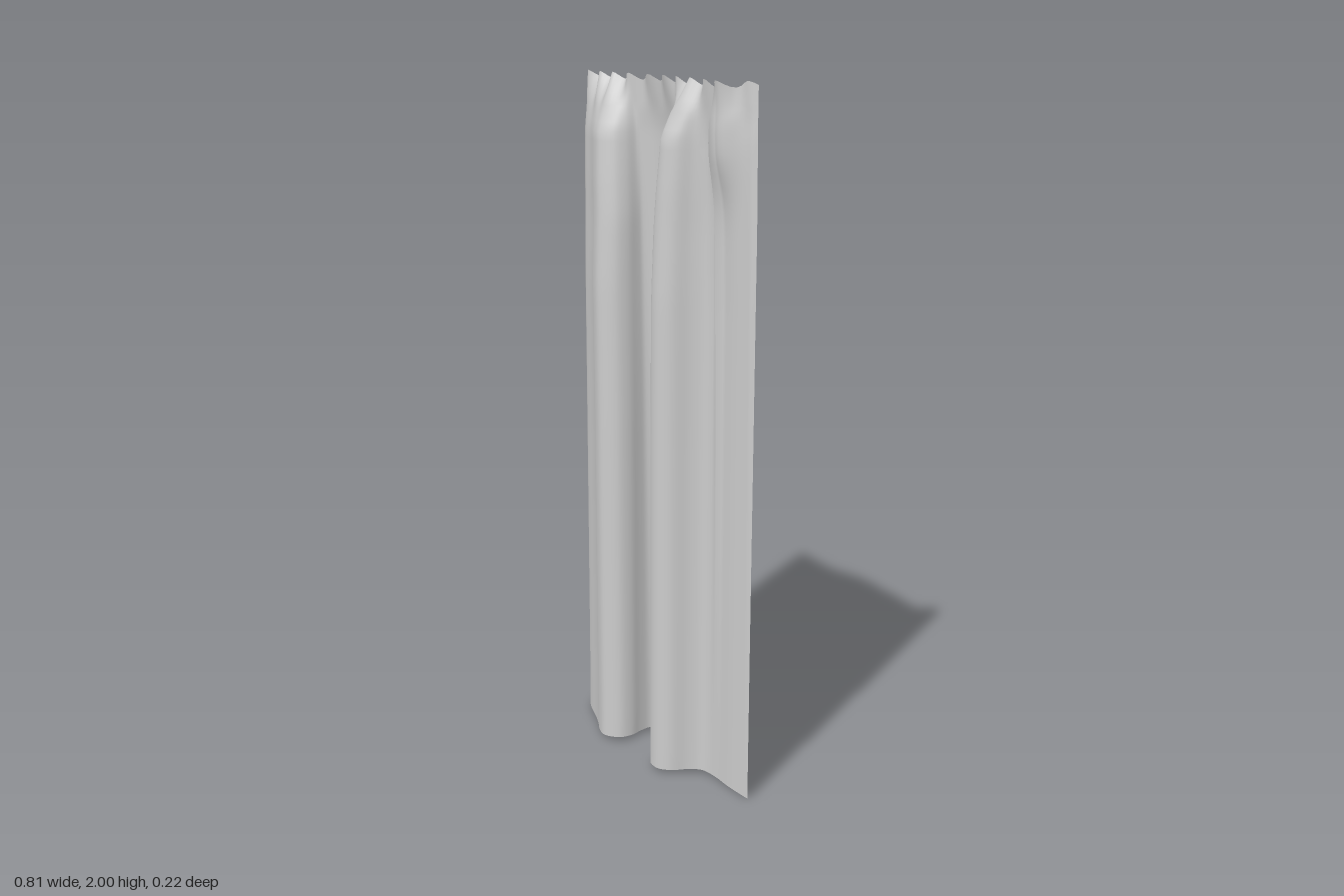
import * as THREE from 'three';

// Hem line and gathered top line as matching [x, z] points, left to right on screen
const HEM = [
  [-0.40, 0.0], [-0.36, 0.02], [-0.30, 0.045], [-0.245, 0.072], [-0.2, 0.097], [-0.155, 0.108],
  [-0.115, 0.08], [-0.107, 0.04], [-0.117, 0.0], [-0.12, -0.04], [-0.088, -0.09], [-0.038, -0.112],
  [0.015, -0.1], [0.055, -0.062], [0.074, -0.015], [0.06, 0.025], [0.056, 0.06], [0.073, 0.1],
  [0.12, 0.111], [0.155, 0.088], [0.178, 0.04], [0.205, 0.008], [0.26, 0.0], [0.32, 0.003],
  [0.365, 0.002], [0.408, 0.0],
];
const TOP = [
  [-0.405, -0.03], [-0.375, -0.01], [-0.335, -0.012], [-0.295, 0.0], [-0.26, 0.0], [-0.225, 0.005],
  [-0.19, 0.005], [-0.165, 0.005], [-0.145, 0.003], [-0.12, 0.0], [-0.09, -0.008], [-0.04, -0.01],
  [0.005, -0.008], [0.035, -0.005], [0.06, 0.0], [0.08, 0.004], [0.1, 0.008], [0.125, 0.01],
  [0.15, 0.012], [0.175, 0.015], [0.2, 0.018], [0.235, 0.025], [0.275, 0.035], [0.32, 0.035],
  [0.36, 0.0], [0.395, -0.015],
];
// How far each row has opened from the top line to the hem: [y, value]
const FRONT = [[0, 1], [1.4, 1], [1.7, 0.88], [1.84, 0.78], [1.93, 0.4], [2, 0]];
const BACK = [[0, 1], [0.5, 0.86], [1, 0.69], [1.5, 0.47], [1.85, 0.27], [2, 0]];
const SIDE = [[0, 1], [1, 0.93], [1.6, 0.8], [1.85, 0.5], [2, 0]];

function ramp(table, y) {
  for (let i = 1; i < table.length; i++) {
    const [y0, a] = table[i - 1], [y1, b] = table[i];
    if (y <= y1) return a + (b - a) * (y - y0) / (y1 - y0);
  }
  return table[table.length - 1][1];
}

const toCurve = (points) =>
  new THREE.CatmullRomCurve3(points.map(([x, z]) => new THREE.Vector3(x, 0, z)));

function curtainGeometry() {
  const cols = 100, rows = 48;
  const hem = toCurve(HEM), top = toCurve(TOP);
  const positions = [], index = [];
  for (let r = 0; r <= rows; r++) {
    // rows are closer together near the gathered top
    const v = 1 - (1 - r / rows) ** 1.6;
    const level = 2 * v;
    for (let c = 0; c <= cols; c++) {
      const u = c / cols;
      const a = top.getPoint(u), b = hem.getPoint(u);
      const fz = ramp(b.z > 0 ? FRONT : BACK, level);
      const x = THREE.MathUtils.lerp(a.x, b.x, ramp(SIDE, level));
      let z = THREE.MathUtils.lerp(a.z, b.z, fz);
      // soft puff below the top of the flat panel
      z += 0.035 * Math.exp(-(((x - 0.3) / 0.05) ** 2) - ((level - 1.83) / 0.12) ** 2);
      // small pleats fading out below the top edge
      const gather = Math.max(0, (level - 1.9) / 0.1);
      const wave = Math.cos(a.x * 2 * Math.PI / 0.075);
      z += 0.009 * gather * wave;
      // hem rises slightly in the middle, top edge is scalloped
      const rise = 0.013 * (1 - v) * Math.min(1, Math.max(0, (0.4 - Math.abs(b.x)) / 0.25));
      const y = level + rise - 0.009 * gather * (1 - wave);
      positions.push(x, y, z);
    }
  }
  const w = cols + 1;
  for (let r = 0; r < rows; r++) {
    for (let c = 0; c < cols; c++) {
      const i = r * w + c;
      index.push(i, i + 1, i + w + 1, i, i + w + 1, i + w);
    }
  }
  const geometry = new THREE.BufferGeometry();
  geometry.setAttribute('position', new THREE.Float32BufferAttribute(positions, 3));
  geometry.setIndex(index);
  geometry.computeVertexNormals();
  return geometry;
}

export function createModel() {
  const group = new THREE.Group();
  group.name = 'curtain';
  const fabric = new THREE.MeshStandardMaterial({ color: 0xcccccc, side: THREE.DoubleSide });
  fabric.name = 'light grey fabric';
  const cloth = new THREE.Mesh(curtainGeometry(), fabric);
  cloth.name = 'curtainCloth';
  group.add(cloth);
  return group;
}
